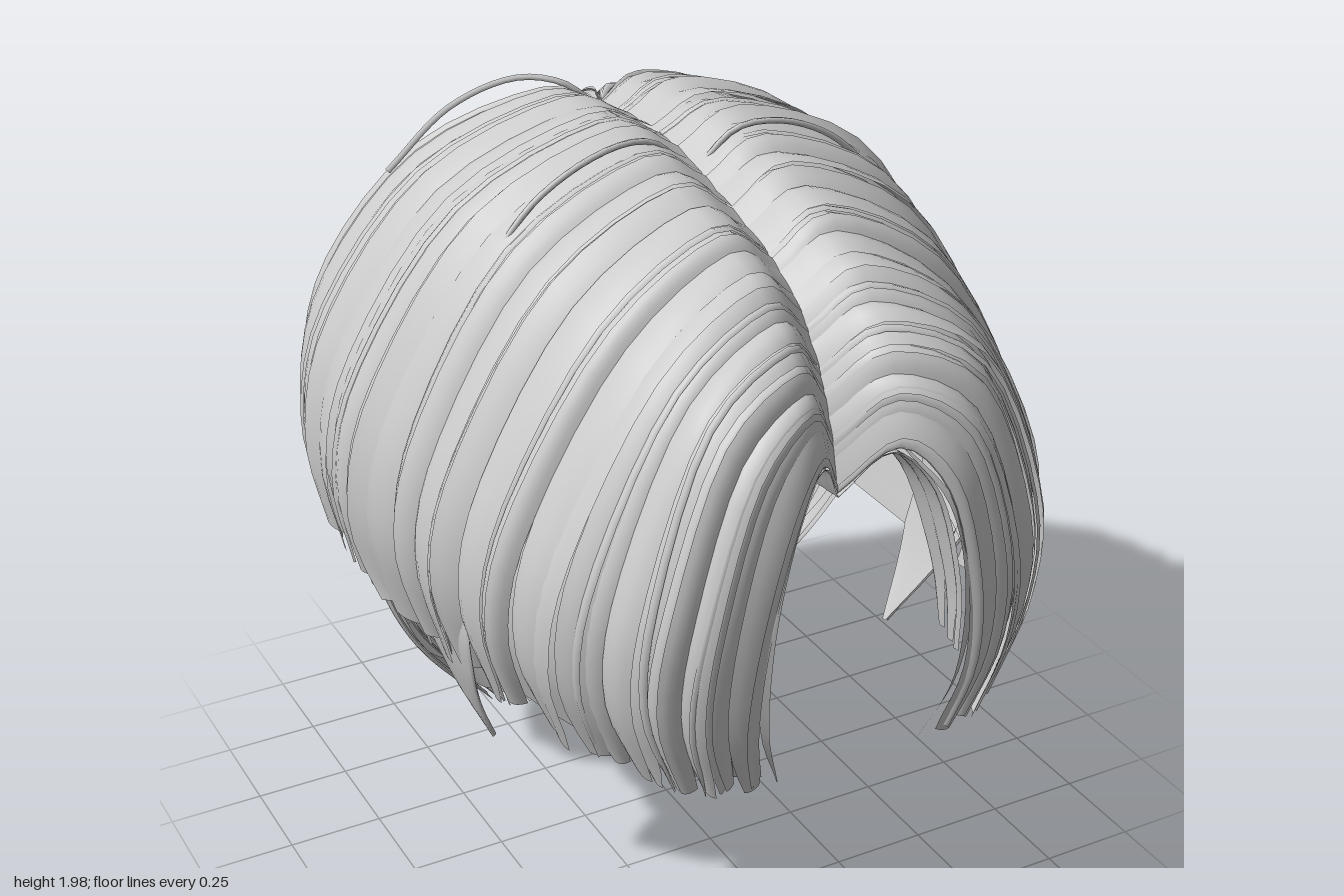
import * as THREE from 'three';

const material = new THREE.MeshStandardMaterial({ color: 0xcccccc, side: THREE.DoubleSide, roughness: 0.8 });
const V = (p) => new THREE.Vector3(...p);

let seed = 7;
function rand(a = 0, b = 1) {
  seed = (seed * 16807) % 2147483647;
  return a + (b - a) * (seed / 2147483647);
}

// Guide hairs from root to tip on the +x side, ordered front to back centre
const capGuides = [
  [[0, 1.33, 0.82], [0.1, 1.47, 0.92], [0.2, 1.36, 0.985], [0.265, 1.1, 0.99], [0.28, 0.86, 0.97], [0.24, 0.66, 0.92]],
  [[0, 1.56, 0.74], [0.12, 1.67, 0.81], [0.34, 1.56, 0.87], [0.48, 1.2, 0.89], [0.5, 0.92, 0.86], [0.42, 0.67, 0.83]],
  [[0, 1.74, 0.58], [0.14, 1.82, 0.6], [0.41, 1.65, 0.63], [0.63, 1.27, 0.62], [0.67, 0.98, 0.59], [0.59, 0.72, 0.56]],
  [[0, 1.85, 0.26], [0.16, 1.92, 0.26], [0.49, 1.75, 0.27], [0.72, 1.37, 0.25], [0.78, 1.07, 0.22], [0.71, 0.78, 0.2]],
  [[0, 1.9, -0.05], [0.17, 1.95, -0.05], [0.52, 1.78, -0.09], [0.76, 1.41, -0.14], [0.82, 1.11, -0.18], [0.77, 0.84, -0.19]],
  [[0, 1.88, -0.32], [0.15, 1.92, -0.36], [0.47, 1.77, -0.45], [0.69, 1.45, -0.54], [0.75, 1.15, -0.58], [0.71, 0.88, -0.58]],
  [[0, 1.87, -0.35], [0.1, 1.88, -0.42], [0.31, 1.75, -0.59], [0.46, 1.45, -0.78], [0.51, 1.15, -0.84], [0.48, 0.88, -0.82]],
  [[0, 1.87, -0.35], [0, 1.87, -0.45], [0, 1.75, -0.67], [0, 1.45, -0.89], [0, 1.15, -0.98], [0, 0.88, -0.94]],
];
const liningGuides = [
  [[0, 1.32, 0.82], [0.09, 1.45, 0.9], [0.19, 1.34, 0.95], [0.25, 1.1, 0.96], [0.27, 0.9, 0.94]],
  [[0, 1.31, 0.7], [0.08, 1.43, 0.72], [0.2, 1.34, 0.75], [0.28, 1.1, 0.78], [0.31, 0.9, 0.8]],
];
const hookGuides = [
  [[0.1, 1.47, 0.91], [0.2, 1.32, 0.97], [0.25, 1.1, 0.98], [0.25, 0.85, 0.96], [0.19, 0.66, 0.91]],
  [[0.1, 1.48, 0.9], [0.22, 1.32, 0.97], [0.28, 1.1, 0.97], [0.27, 0.85, 0.95], [0.2, 0.66, 0.9]],
];
const napeGuides = [
  [[0.72, 1.18, -0.1], [0.71, 0.9, -0.15], [0.68, 0.75, -0.18], [0.64, 0.62, -0.23], [0.57, 0.47, -0.29]],
  [[0.68, 1.18, -0.42], [0.67, 0.9, -0.42], [0.61, 0.6, -0.45], [0.5, 0.36, -0.45], [0.33, 0.16, -0.41]],
  [[0.44, 1.18, -0.72], [0.45, 0.9, -0.75], [0.42, 0.6, -0.74], [0.33, 0.33, -0.65], [0.18, 0.06, -0.48]],
  [[0, 1.18, -0.89], [0, 0.9, -0.92], [0, 0.6, -0.89], [0, 0.3, -0.76], [0, 0, -0.52]],
];
const sideburnGuides = [
  [[0.7, 1.18, 0.36], [0.72, 0.95, 0.37], [0.7, 0.8, 0.34], [0.65, 0.64, 0.26], [0.58, 0.48, 0.18]],
  [[0.74, 1.18, 0.04], [0.73, 0.95, 0.05], [0.71, 0.8, 0.07], [0.66, 0.64, 0.11], [0.58, 0.47, 0.16]],
];
const bandGuides = [
  [[0.72, 1.18, 0.14], [0.71, 0.95, 0.13], [0.67, 0.72, 0.11]],
  [[0.72, 1.18, -0.22], [0.71, 0.95, -0.22], [0.67, 0.72, -0.22]],
];

// Returns s => the hair curve at that place between the guides
function hairField(guides) {
  const columns = guides[0].map((_, k) =>
    new THREE.CatmullRomCurve3(guides.map((g) => V(g[k])), false, 'catmullrom', 0.5));
  return (s) => new THREE.CatmullRomCurve3(
    columns.map((c) => c.getPoint(THREE.MathUtils.clamp(s, 0, 1))), false, 'catmullrom', 0.5);
}

// One ribbon of hair: domed and tilted across its width, tapered at its tip
function lock(field, o, mirror) {
  const { mid, half, cols = 4, rows = 20, lift = 0, dome = 0, tilt = 0, end = 1, taper = 0, from = 0.88, lean = 0 } = o;
  const pos = [], idx = [];
  for (let i = 0; i <= rows; i++) {
    const t = (i / rows) * end;
    const k = Math.max(0, (i / rows - from) / (1 - from));
    const width = half * (1 - taper * k * k);
    const grow = 0.3 + 0.7 * Math.sin(Math.min(1, t * 2.5) * Math.PI / 2);
    for (let j = 0; j <= cols; j++) {
      const v = (j / cols) * 2 - 1;
      const p = field(mid + v * width + lean * t * t).getPoint(t);
      const out = new THREE.Vector3(p.x, p.y - 1, p.z * 0.6).normalize();
      p.addScaledVector(out, (lift + dome * (1 - v * v) + tilt * v) * grow);
      pos.push(mirror * Math.max(p.x, 0), p.y, p.z);
    }
  }
  for (let i = 0; i < rows; i++) {
    for (let j = 0; j < cols; j++) {
      const a = i * (cols + 1) + j, b = a + 1, c = a + cols + 1, d = c + 1;
      if (mirror > 0) idx.push(a, c, b, b, c, d);
      else idx.push(a, b, c, b, d, c);
    }
  }
  const g = new THREE.BufferGeometry();
  g.setAttribute('position', new THREE.Float32BufferAttribute(pos, 3));
  g.setIndex(idx);
  g.computeVertexNormals();
  return g;
}

// Splits 0..1 into locks of uneven width
function unevenLocks(count, overlap, make) {
  const widths = Array.from({ length: count }, () => rand(0.4, 1.6));
  const total = widths.reduce((a, b) => a + b);
  let s = 0;
  return widths.map((w) => {
    const half = w / total / 2;
    s += half * 2;
    return { mid: s - half, half: half * overlap, ...make() };
  });
}

function addLocks(parent, name, guides, locks) {
  const field = hairField(guides);
  for (const side of [1, -1]) {
    const group = new THREE.Group();
    group.name = (side > 0 ? 'left' : 'right') + name;
    for (const o of locks) {
      const mesh = new THREE.Mesh(lock(field, o, side), material);
      mesh.name = 'lock';
      group.add(mesh);
    }
    parent.add(group);
  }
}

export function createModel() {
  const hair = new THREE.Group();
  hair.name = 'hair';

  // Smooth sheet that closes the gaps under the outer locks
  addLocks(hair, 'CapBase', capGuides, [{ mid: 0.5, half: 0.5, cols: 56, rows: 22, lift: -0.012, end: 0.965 }]);
  // Outer locks falling from the parting and the crown, overlapping in steps
  addLocks(hair, 'CapLocks', capGuides, unevenLocks(42, 1.3, () => ({
    lift: rand(-0.004, 0.014), dome: rand(0.003, 0.01),
    tilt: rand(0.006, 0.016) * (rand() < 0.4 ? -1 : 1),
    end: rand(0.97, 1), taper: rand(0.2, 0.6), lean: rand(-0.012, 0.012),
  })));
  // Centre back lock, flared side lock and a few narrow ones
  addLocks(hair, 'AccentLocks', capGuides, [
    { mid: 1, half: 0.03, cols: 6, lift: 0.01, end: 0.99, taper: 0.4 },
    { mid: 0.49, half: 0.03, lift: 0.014, tilt: 0.024, end: 0.97, taper: 0.7 },
    ...Array.from({ length: 10 }, (_, i) => ({
      mid: (i + rand(0.2, 0.8)) / 10, half: rand(0.003, 0.006), cols: 2, lift: 0.014, dome: 0.006,
      end: rand(0.97, 1), taper: 0.9, lean: rand(-0.03, 0.03),
    })),
  ]);

  // Underside of the front lobes and the thin hooked locks along their edge
  addLocks(hair, 'FringeLining', liningGuides, [0.2, 0.5, 0.8].map((mid) => (
    { mid, half: 0.2, dome: -0.012, taper: 0.8, from: 0.5 })));
  addLocks(hair, 'FringeHook', hookGuides, [{ mid: 0.5, half: 0.5, taper: 0.9, from: 0.5 }]);

  // Under layer at the nape: outer locks gathered to a point, rougher locks inside
  addLocks(hair, 'NapeBase', napeGuides, [{ mid: 0.5, half: 0.5, cols: 28, lift: -0.01, end: 0.95 }]);
  addLocks(hair, 'NapeLocks', napeGuides, [
    { mid: 1, half: 0.1, cols: 8, lift: 0.004, taper: 1, from: 0.8 },
    ...unevenLocks(13, 1.3, () => ({
      lift: rand(-0.004, 0.008), dome: 0.006, tilt: rand(0.006, 0.014) * (rand() < 0.4 ? -1 : 1),
      end: rand(0.97, 1), taper: rand(0.5, 0.9),
    })),
  ]);
  addLocks(hair, 'NapeInnerLocks', napeGuides, unevenLocks(8, 0.95, () => ({
    lift: -0.032, tilt: rand(-0.018, 0.018), end: rand(0.74, 0.93), taper: rand(0.1, 0.5),
  })));

  // Sideburns and the short band behind them
  addLocks(hair, 'Sideburn', sideburnGuides, [{ mid: 0.5, half: 0.5, cols: 8, dome: 0.01 }]);
  addLocks(hair, 'SideBand', bandGuides, [{ mid: 0.5, half: 0.5, cols: 6, rows: 8 }]);

  // Stray hairs standing off the crown
  const strays = [
    [[-0.02, 1.88, -0.34], [-0.1, 1.945, -0.36], [-0.2, 1.955, -0.42], [-0.36, 1.89, -0.47], [-0.52, 1.74, -0.5]],
    [[0.02, 1.88, 0.14], [0.1, 1.96, 0.16], [0.2, 1.97, 0.18], [0.36, 1.9, 0.17], [0.54, 1.72, 0.15]],
    [[-0.02, 1.88, 0.12], [-0.12, 1.96, 0.14], [-0.24, 1.96, 0.15], [-0.42, 1.87, 0.15], [-0.58, 1.67, 0.14]],
  ];
  for (const path of strays) {
    const curve = new THREE.CatmullRomCurve3(path.map(V));
    const mesh = new THREE.Mesh(new THREE.TubeGeometry(curve, 20, 0.008, 5), material);
    mesh.name = 'strayHair';
    hair.add(mesh);
  }

  // Stand on the ground, centred front to back
  const box = new THREE.Box3().setFromObject(hair);
  hair.position.set(0, -box.min.y, -(box.min.z + box.max.z) / 2);
  const model = new THREE.Group();
  model.name = 'hairModel';
  model.add(hair);
  return model;
}
